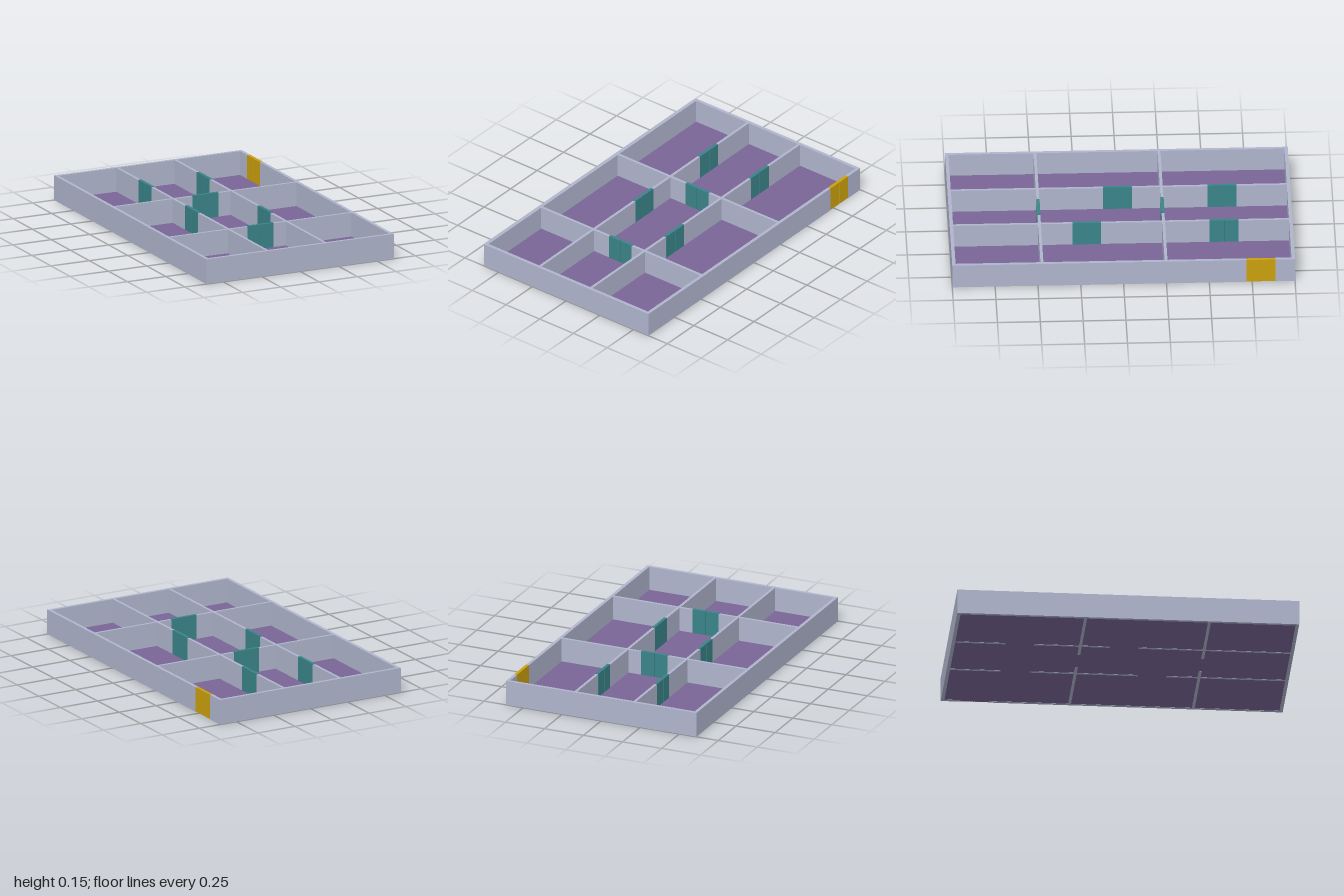
import * as THREE from 'three';

const W = 1.22, L = 2, H = 0.15;      // outer width, length and wall height
const T = 0.02, P = 0.017;            // outer wall and partition thickness
const DOOR = 0.168;                   // width of a doorway
const XS = [-0.207, 0.171];           // partitions running front to back
const ZS = [-0.248, 0.476];           // partitions running side to side

export function createModel() {
  const model = new THREE.Group();
  model.name = 'floorPlan';

  const wallMat = new THREE.MeshStandardMaterial({ name: 'wall grey blue', color: 0xafb5cd });
  const floorMat = new THREE.MeshStandardMaterial({ name: 'floor purple', color: 0x796596 });
  const doorMat = new THREE.MeshStandardMaterial({ name: 'door teal', color: 0x3a8489 });
  const entryMat = new THREE.MeshStandardMaterial({ name: 'entry door gold', color: 0xcaa00e });

  // Box given by its limits on each axis
  function box(name, mat, [x0, x1], [y0, y1], [z0, z1], parent = model) {
    const mesh = new THREE.Mesh(new THREE.BoxGeometry(x1 - x0, y1 - y0, z1 - z0), mat);
    mesh.position.set((x0 + x1) / 2, (y0 + y1) / 2, (z0 + z1) / 2);
    mesh.name = name;
    parent.add(mesh);
  }

  // Straight wall along one axis, split by the given doorway centres
  function wall(name, axis, at, thick, from, to, doors = []) {
    const across = [at - thick / 2, at + thick / 2];
    const cuts = [from, ...doors.flatMap(d => [d - DOOR / 2, d + DOOR / 2]), to];
    for (let i = 0; i < cuts.length; i += 2) {
      const along = [cuts[i], cuts[i + 1]];
      if (axis === 'z') box(name, wallMat, across, [0, H], along);
      else box(name, wallMat, along, [0, H], across);
    }
  }

  // Double door: two leaves meeting at a narrow groove
  function door(name, mat, axis, at, centre, thick, top) {
    const group = new THREE.Group();
    group.name = name;
    const across = [at - thick / 2, at + thick / 2];
    const spans = [[-DOOR / 2, -0.002], [0.002, DOOR / 2]];
    for (const [a, b] of spans) {
      const along = [centre + a, centre + b];
      const y = [0.002, top];
      if (axis === 'z') box('doorLeaf', mat, across, y, along, group);
      else box('doorLeaf', mat, along, y, across, group);
    }
    // Slim core closing the groove
    const core = [centre - 0.002, centre + 0.002], inner = [at - thick / 4, at + thick / 4];
    if (axis === 'z') box('doorCore', mat, inner, [0.002, top], core, group);
    else box('doorCore', mat, core, [0.002, top], inner, group);
    model.add(group);
  }

  // Floor slab, just above the wall footings
  box('floor', floorMat, [-W / 2 + 0.005, W / 2 - 0.005], [0.001, 0.006], [-L / 2 + 0.005, L / 2 - 0.005]);

  // Outer walls, with the entry on the left side near the back
  const ENTRY = -0.802, xo = W / 2 - T / 2, zo = L / 2 - T / 2;
  wall('outerWallLeft', 'z', xo, T, -L / 2, L / 2, [ENTRY]);
  wall('outerWallRight', 'z', -xo, T, -L / 2, L / 2);
  for (const [name, z] of [['outerWallBack', -zo], ['outerWallFront', zo]])
    wall(name, 'x', z, T, -W / 2 + T, W / 2 - T);
  door('entryDoor', entryMat, 'z', xo, ENTRY, T, H);

  // Long partitions with their doors
  const longDoors = [[-0.602, 0.008], [-0.6, 0.2]];
  XS.forEach((x, i) => {
    wall('longPartition', 'z', x, P, -L / 2 + T, L / 2 - T, longDoors[i]);
    for (const z of longDoors[i]) door('innerDoor', doorMat, 'z', x, z, P + 0.002, H + 0.003);
  });

  // Cross partitions fitted between them, with a door in the middle bay
  const edges = [-W / 2 + T, XS[0] - P / 2, XS[0] + P / 2, XS[1] - P / 2, XS[1] + P / 2, W / 2 - T];
  for (const z of ZS) {
    for (let i = 0; i < 6; i += 2)
      wall('crossPartition', 'x', z, P, edges[i], edges[i + 1], i === 2 ? [-0.003] : []);
    door('innerDoor', doorMat, 'x', z, -0.003, P + 0.002, H + 0.003);
  }

  return model;
}
